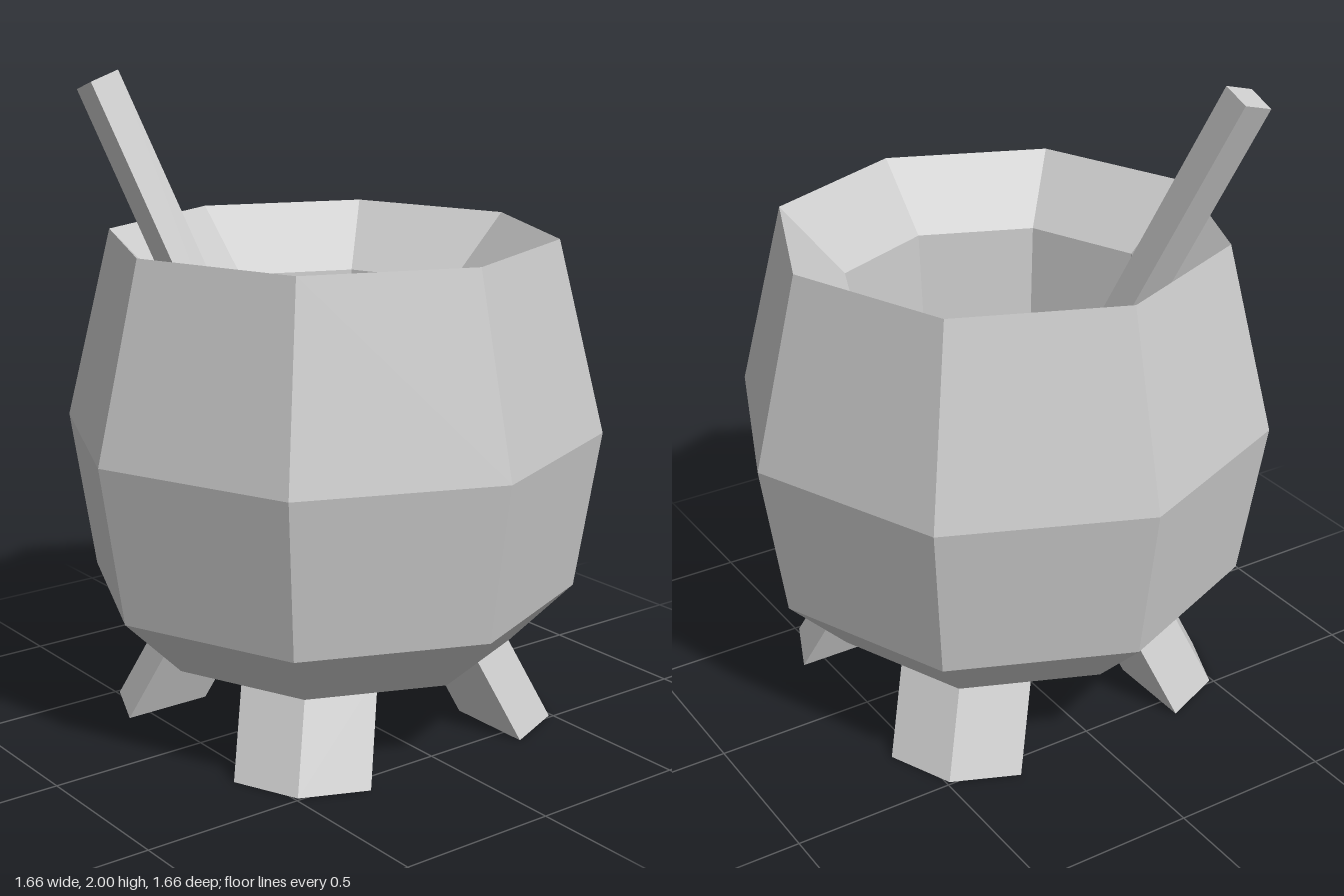
import * as THREE from 'three';

const material = new THREE.MeshStandardMaterial({ color: 0xcccccc, flatShading: true });

function addMesh(parent, name, geometry) {
  const flat = geometry.index ? geometry.toNonIndexed() : geometry;
  flat.computeVertexNormals();
  const mesh = new THREE.Mesh(flat, material);
  mesh.name = name;
  parent.add(mesh);
}

// Unit box whose corners are moved by a rule: rule(sx, sy, sz) -> [x, y, z], signs are -1 or 1
function shapedBox(rule) {
  const geometry = new THREE.BoxGeometry(2, 2, 2);
  const p = geometry.attributes.position;
  for (let i = 0; i < p.count; i++) {
    p.setXYZ(i, ...rule(Math.sign(p.getX(i)), Math.sign(p.getY(i)), Math.sign(p.getZ(i))));
  }
  return geometry;
}

export function createModel() {
  const model = new THREE.Group();
  model.name = 'cauldron';

  // Eight-sided pot: outer wall, sloping lip, inner wall and the surface inside
  const profile = [
    [0, 0.25], [0.565, 0.25], [0.755, 0.44], [0.83, 0.93], [0.685, 1.52],
    [0.485, 1.32], [0.44, 0.755], [0, 0.755],
  ].map(([r, y]) => new THREE.Vector2(r, y));
  addMesh(model, 'pot', new THREE.LatheGeometry(profile, 8));

  // Four splayed legs, square with the outer corner pulled in
  for (const mx of [-1, 1]) {
    for (const mz of [-1, 1]) {
      const leg = shapedBox((sx, sy, sz) => {
        const outerCorner = sx === mx && sz === mz;
        const y = sy > 0 ? 0.3 : 0;
        const along = (s, m) => m * ((outerCorner ? 0.49 : s === m ? 0.575 : 0.29) - 0.38 * y);
        return [along(sx, mx), y, along(sz, mz)];
      });
      addMesh(model, (mz > 0 ? 'front' : 'back') + (mx > 0 ? 'Left' : 'Right') + 'Leg', leg);
    }
  }

  // Stirring stick leaning to the back right, ends cut square to its length
  const stick = shapedBox((sx, sy, sz) => {
    const y = (sy > 0 ? 1.97 : 0.7) + 0.015 * (sx + sz);
    const rise = y - 1.97;
    return [-0.492 + 0.055 * sx - 0.27 * rise, y, -0.516 + 0.055 * sz - 0.385 * rise];
  });
  addMesh(model, 'stirringStick', stick);

  return model;
}
